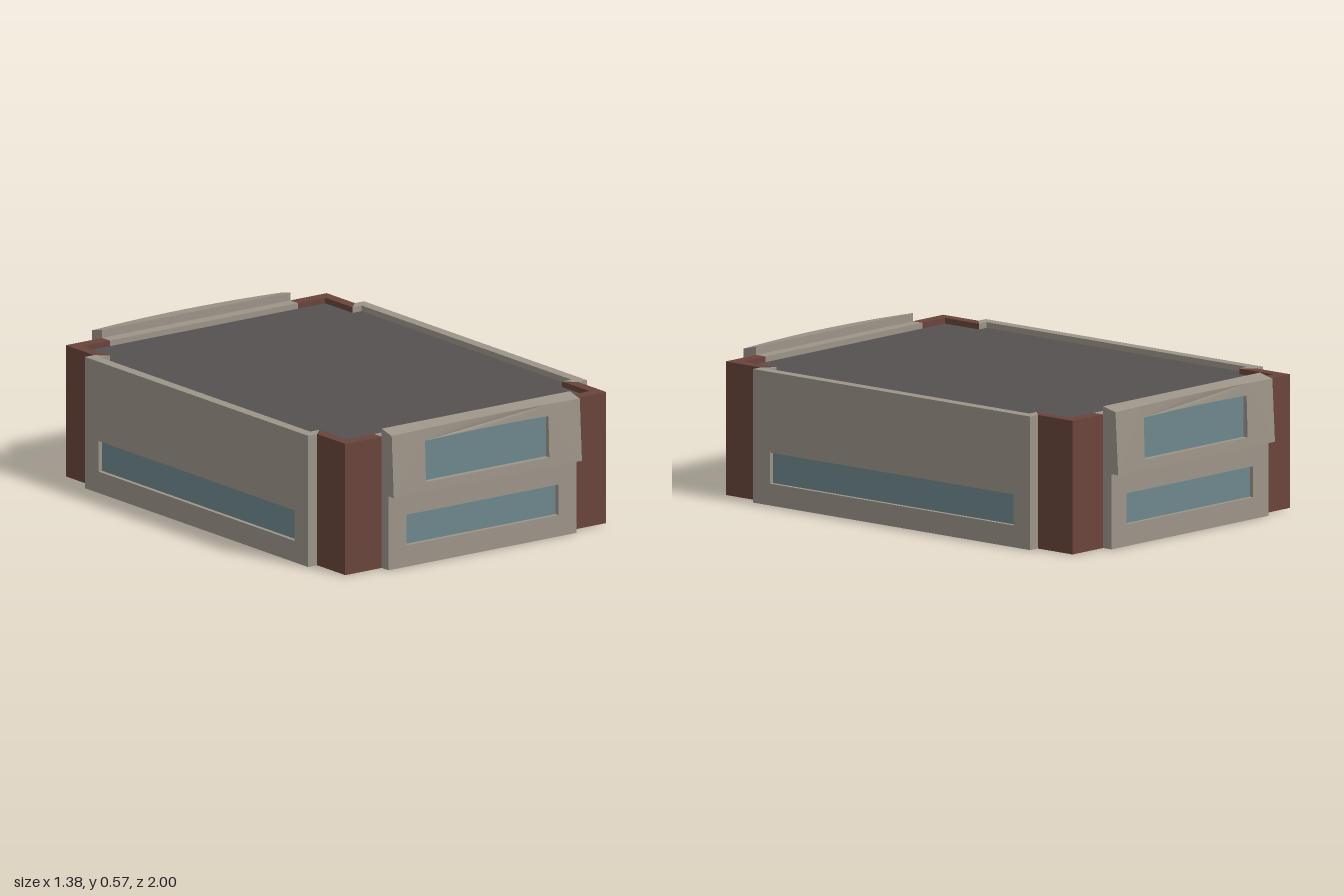
import * as THREE from 'three';

const mat = (color) => new THREE.MeshStandardMaterial({ color, flatShading: true });
const TAN = mat(0x9c9488), BROWN = mat(0x69443a), GLASS = mat(0x6d878d), ROOF = mat(0x565151);

const H = 0.54, BASE = 0.002;

function mesh(name, geometry, material) {
  const m = new THREE.Mesh(geometry, material);
  m.name = name;
  return m;
}

const toShape = (pts) => new THREE.Shape(pts.map(([x, y]) => new THREE.Vector2(x, y)));
const rect = (w, y0, y1) => [[-w, y0], [w, y0], [w, y1], [-w, y1]];

// Rectangle whose top edge bows down towards its ends
function bowedRect(w, y0, y1, drop, n = 12) {
  const pts = [[-w, y0], [w, y0]];
  for (let i = 0; i <= n; i++) {
    const u = 1 - (2 * i) / n;
    pts.push([u * w, y1 - drop * u * u]);
  }
  return pts;
}

// Upright slab between z0 and z1 with a window opening
function slab(outline, hole, z0, z1) {
  const shape = toShape(outline);
  shape.holes.push(toShape(hole));
  const g = new THREE.ExtrudeGeometry(shape, { depth: z1 - z0, bevelEnabled: false });
  return g.translate(0, 0, z0);
}

// Vertical prism from a plan outline of [x, z] points
function prism(plan, y0, y1) {
  const shape = toShape(plan.map(([x, z]) => [x, -z]));
  const g = new THREE.ExtrudeGeometry(shape, { depth: y1 - y0, bevelEnabled: false });
  return g.rotateX(-Math.PI / 2).translate(0, y0, 0);
}

function pane(w, y0, y1, z) {
  return new THREE.PlaneGeometry(2 * w, y1 - y0).translate(0, (y0 + y1) / 2, z);
}

// Mirror a quarter plan to all four corners
function fourfold(q) {
  const flip = (pts, sx, sz) => pts.map(([x, z]) => [x * sx, z * sz]);
  const r = [...q].reverse();
  return [...q, ...flip(r, -1, 1), ...flip(q, -1, -1), ...flip(r, 1, -1)];
}

// Projecting upper bay: its face leans back and its top edge is bowed
function bayGeometry() {
  const y0 = 0.305, y1 = 0.573, w = 0.465;
  const g = slab(bowedRect(w, y0, y1, 0), bowedRect(0.305, 0.345, 0.518, 0.005), 0.92, 1);
  const p = g.attributes.position;
  for (let i = 0; i < p.count; i++) {
    if (p.getZ(i) < 0.99) continue;
    const t = (p.getY(i) - y0) / (y1 - y0);
    const u2 = (p.getX(i) / w) ** 2;
    p.setZ(i, 1 - t * (0.006 + 0.008 * u2));
    if (t > 0.95) p.setY(i, y1 - 0.008 - 0.008 * u2);
  }
  g.computeVertexNormals();
  return g;
}

function endFacade() {
  const g = new THREE.Group();
  g.add(
    mesh('endWall', slab(rect(0.465, BASE, H), rect(0.375, 0.09, 0.215), 0.87, 0.965), TAN),
    mesh('lowerWindow', pane(0.38, 0.085, 0.22, 0.947), GLASS),
    mesh('upperBay', bayGeometry(), TAN),
    mesh('upperWindow', pane(0.31, 0.34, 0.525, 0.975), GLASS),
  );
  return g;
}

function sideFacade() {
  const g = new THREE.Group();
  g.add(
    mesh('sideWall', slab(rect(0.735, BASE, H), rect(0.645, 0.09, 0.215), 0.645, 0.69), TAN),
    mesh('sideWindow', pane(0.65, 0.085, 0.22, 0.672), GLASS),
  );
  // Mitred returns where the wall meets the corner piers
  for (const s of [-1, 1]) {
    const tri = [[0.69 * s, 0.6], [0.735 * s, 0.645], [0.69 * s, 0.645]];
    g.add(mesh('wallReturn', prism(tri, BASE, H), TAN));
  }
  return g;
}

export function createModel() {
  const model = new THREE.Group();
  model.name = 'building';

  // Flat roof sunk behind the parapets
  const core = fourfold([[0.645, 0.69], [0.6, 0.69], [0.6, 0.87]]);
  model.add(mesh('roof', prism(core, 0.01, 0.517), ROOF));

  // Underside
  const floor = fourfold([[0.69, 0.735], [0.645, 0.735], [0.645, 0.92], [0.465, 0.92], [0.465, 0.965]]);
  const floorGeo = new THREE.ShapeGeometry(toShape(floor)).rotateX(Math.PI / 2);
  model.add(mesh('floor', floorGeo, TAN));

  // Facades on opposite sides
  for (let i = 0; i < 2; i++) {
    const end = endFacade();
    end.name = i ? 'backFacade' : 'frontFacade';
    end.rotation.y = i * Math.PI;
    const side = sideFacade();
    side.name = i ? 'rightFacade' : 'leftFacade';
    side.rotation.y = Math.PI / 2 + i * Math.PI;
    model.add(end, side);
  }

  // Brick corner piers, L-shaped in plan
  const pier = [[0.465, 0.92], [0.645, 0.92], [0.645, 0.735], [0.6, 0.69], [0.6, 0.87], [0.465, 0.87]];
  for (const sx of [-1, 1]) for (const sz of [-1, 1]) {
    const plan = pier.map(([x, z]) => [x * sx, z * sz]);
    model.add(mesh('cornerPier', prism(plan, BASE, H), BROWN));
  }
  return model;
}
